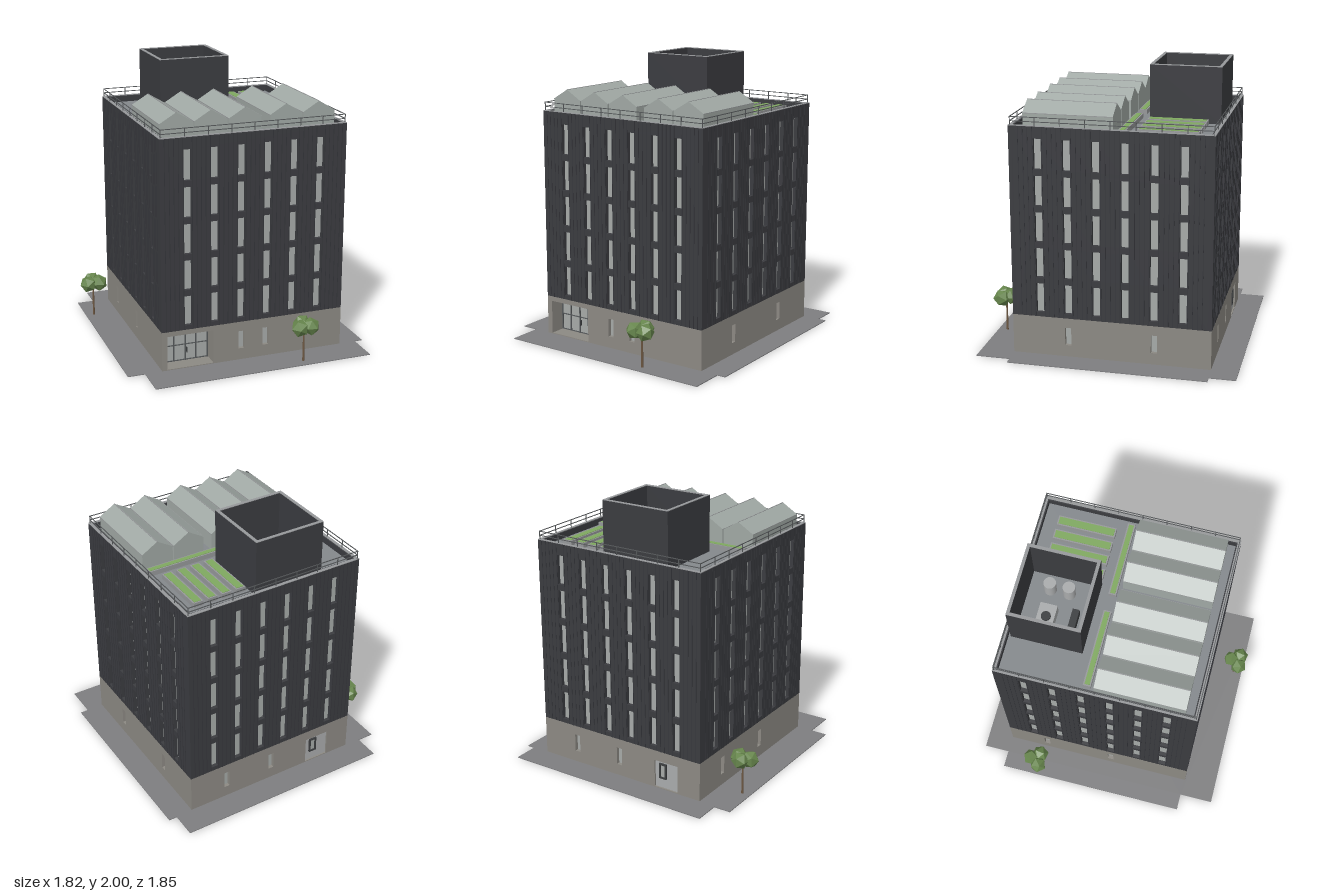
import * as THREE from 'three';

const CX = 0.049, CZ = -0.037, W = 1.346, D = 1.407; // building centre and footprint
const T = 0.03, GROUND = 0.006, BASE = 0.29, ROOF = 1.6, TOP = 1.645;

const mat = (color, extra = {}) => new THREE.MeshStandardMaterial({ color, ...extra });
const M = {
  ground: mat(0x7e7e80), base: mat(0x8c8983), clad: mat(0x3b3c40), rib: mat(0x34353a),
  glass: mat(0xa6aaa8), frame: mat(0x55585a), coping: mat(0x96989a), roof: mat(0x84888c),
  green: mat(0x7fa860), house: mat(0xa0a8a4), equip: mat(0xa9abac), dark: mat(0x3c3e40),
  trunk: mat(0x6e5842), leaf: mat(0x66854c, { flatShading: true }),
};

function add(parent, name, geo, material, x = 0, y = 0, z = 0) {
  const m = new THREE.Mesh(geo, material);
  m.name = name;
  m.position.set(x, y, z);
  parent.add(m);
  return m;
}

// Box given by its two opposite corners
function box(parent, name, material, x0, x1, y0, y1, z0, z1) {
  return add(parent, name, new THREE.BoxGeometry(x1 - x0, y1 - y0, z1 - z0), material,
    (x0 + x1) / 2, (y0 + y1) / 2, (z0 + z1) / 2);
}

function rect(Type, x0, x1, y0, y1) {
  return new Type([[x0, y0], [x1, y0], [x1, y1], [x0, y1]].map(p => new THREE.Vector2(...p)));
}

// Upright panel with rectangular holes; its outer face lies on z = 0
function panel(parent, name, material, r, holes, depth) {
  const s = rect(THREE.Shape, ...r);
  holes.forEach(h => s.holes.push(rect(THREE.Path, ...h)));
  const g = new THREE.ExtrudeGeometry(s, { depth, bevelEnabled: false });
  return add(parent, name, g, material, 0, 0, -depth);
}

// Hollow rectangular ring lying flat, from y0 to y1
function ring(parent, name, material, x0, x1, z0, z1, y0, y1, t) {
  const s = rect(THREE.Shape, x0, x1, -z1, -z0);
  s.holes.push(rect(THREE.Path, x0 + t, x1 - t, -z1 + t, -z0 - t));
  const g = new THREE.ExtrudeGeometry(s, { depth: y1 - y0, bevelEnabled: false }).rotateX(-Math.PI / 2);
  return add(parent, name, g, material, 0, y0, 0);
}

// One facade: base wall, clad wall, recessed windows and cladding ribs
function facade(root, name, angle, half, dist, step, baseWindows, doors = []) {
  const g = new THREE.Group();
  g.name = name;
  g.rotation.y = angle;
  g.position.set(CX + Math.sin(angle) * dist, 0, CZ + Math.cos(angle) * dist);
  root.add(g);
  const upper = [], lower = baseWindows.map(u => [u - 0.022, u + 0.022, 0.09, 0.22]);
  for (let i = 0; i < 6; i++) for (let j = 0; j < 5; j++) {
    const u = (i - 2.5) * step, y = 0.322 + j * 0.257;
    upper.push([u - 0.027, u + 0.027, y, y + 0.213]);
  }
  panel(g, 'baseWall', M.base, [-half, half, GROUND, BASE], [...lower, ...doors], T);
  panel(g, 'cladWall', M.clad, [-half, half, BASE, TOP], upper, T);
  for (const [a, b, y0, y1] of [...upper, ...lower])
    box(g, 'windowPane', M.glass, a, b, y0, y1, -T - 0.004, -T + 0.004);
  for (let i = -1; i < 6; i++) for (let k = 1; k < 6; k++) {
    const u = (i - 2.5 + k / 6) * step;
    if (Math.abs(u) < half - 0.01) box(g, 'claddingRib', M.rib, u - 0.002, u + 0.002, BASE, TOP, -0.002, 0.002);
  }
  return g;
}

function tree(root, x, z) {
  const g = new THREE.Group();
  g.name = 'tree';
  g.position.set(x, 0, z);
  root.add(g);
  add(g, 'trunk', new THREE.CylinderGeometry(0.006, 0.008, 0.24, 8), M.trunk, 0, 0.12, 0);
  [[0, 0.275, -0.038, 0.062], [-0.042, 0.268, 0.026, 0.064], [0.042, 0.268, 0.022, 0.064]].forEach(([a, b, c, r], i) => {
    add(g, 'foliage', new THREE.IcosahedronGeometry(r, 0), M.leaf, a, b, c).rotation.y = i * 0.7;
  });
}

function greenhouse(root, x) {
  const g = new THREE.Group();
  g.name = 'greenhouse';
  g.position.set(x, 0, -0.045);
  root.add(g);
  const w = 0.117, eave = 1.725, ridge = 1.795, len = 0.625;
  const s = new THREE.Shape([[-w, ROOF], [w, ROOF], [w, eave], [0, ridge], [-w, eave]].map(p => new THREE.Vector2(...p)));
  add(g, 'glazing', new THREE.ExtrudeGeometry(s, { depth: len, bevelEnabled: false }), M.house);
  for (const u of [-w, w]) box(g, 'eaveBar', M.coping, u - 0.002, u + 0.002, eave - 0.004, eave, 0, len);
  box(g, 'ridgeBar', M.coping, -0.003, 0.003, ridge - 0.004, ridge + 0.001, 0, len);
}

export function createModel() {
  const root = new THREE.Group();
  root.name = 'building';
  const x0 = CX - W / 2, x1 = CX + W / 2, z0 = CZ - D / 2, z1 = CZ + D / 2;

  // Paving with notched corners
  const plan = [[-0.745, -0.905], [0.845, -0.905], [0.845, -0.66], [0.905, -0.66], [0.905, 0.745], [0.845, 0.745],
    [0.845, 0.93], [-0.745, 0.93], [-0.745, 0.745], [-0.867, 0.745], [-0.867, -0.66], [-0.745, -0.66]];
  const paving = new THREE.Shape(plan.map(p => new THREE.Vector2(...p)));
  add(root, 'paving', new THREE.ExtrudeGeometry(paving, { depth: GROUND, bevelEnabled: false }).rotateX(-Math.PI / 2), M.ground);

  // Facades
  const porch = [-0.634, -0.299, 0.012, 0.255], backDoor = [0.3, 0.49, 0.012, 0.215];
  const front = facade(root, 'frontFacade', 0, W / 2, D / 2, 0.192, [-0.091, 0.091], [porch]);
  const back = facade(root, 'backFacade', Math.PI, W / 2, D / 2, 0.192, [-0.38, -0.005], [backDoor]);
  facade(root, 'leftFacade', Math.PI / 2, D / 2 - T, W / 2, 0.201, [-0.305, 0.305]);
  facade(root, 'rightFacade', -Math.PI / 2, D / 2 - T, W / 2, 0.201, [-0.41, 0.1]);

  // Recessed entrance with glazed screen
  const [a, b, c, d] = porch, deep = 0.12;
  panel(front, 'porchLining', M.base, [a - 0.006, b + 0.006, c - 0.006, d + 0.006], [porch], deep).position.z -= 0.001;
  box(front, 'entranceGlass', M.glass, a, b, c, d, -deep - 0.006, -deep + 0.002);
  for (const u of [a + 0.004, a + 0.083, a + 0.167, a + 0.245, b - 0.004])
    box(front, 'entranceMullion', M.frame, u - 0.004, u + 0.004, c, d, -deep, -deep + 0.01);
  for (const y of [c + 0.004, 0.132, d - 0.004])
    box(front, 'entranceTransom', M.frame, a, b, y - 0.003, y + 0.003, -deep, -deep + 0.009);
  box(front, 'doorHandle', M.dark, a + 0.175, a + 0.18, 0.07, 0.11, -deep, -deep + 0.02);

  // Service door with narrow light
  box(back, 'serviceDoor', M.equip, 0.3, 0.49, 0.012, 0.215, -T, -0.012);
  panel(back, 'doorLightFrame', M.dark, [0.335, 0.395, 0.085, 0.2], [[0.347, 0.383, 0.097, 0.188]], 0.012);
  box(back, 'doorLight', M.glass, 0.345, 0.385, 0.095, 0.19, -0.012, -0.008);

  // Roof deck, coping and railing
  box(root, 'roofDeck', M.roof, x0 + T, x1 - T, ROOF - 0.02, ROOF, z0 + T, z1 - T);
  ring(root, 'coping', M.coping, x0, x1, z0, z1, TOP, TOP + 0.004, 0.022);
  const e = 0.01, R = 0.0025;
  for (const y of [1.675, 1.705])
    ring(root, 'handrail', M.frame, x0 + e - R, x1 - e + R, z0 + e - R, z1 - e + R, y - R, y + R, 2 * R);
  for (let i = 0; i < 8; i++) {
    const px = x0 + e + (W - 2 * e) * i / 8, pz = z0 + e + (D - 2 * e) * i / 8;
    for (const [x, z] of [[px, z0 + e], [2 * CX - px, z1 - e], [x0 + e, 2 * CZ - pz], [x1 - e, pz]])
      box(root, 'railPost', M.frame, x - R, x + R, TOP, 1.705, z - R, z + R);
  }

  // Open-topped plant enclosure and its equipment
  ring(root, 'plantEnclosure', M.clad, -0.34, 0.184, -0.695, -0.192, ROOF, 1.996, 0.022);
  ring(root, 'enclosureCoping', M.coping, -0.34, 0.184, -0.695, -0.192, 1.996, 2, 0.022);
  box(root, 'airUnit', M.equip, -0.27, -0.085, ROOF, 1.7, -0.55, -0.43);
  add(root, 'fan', new THREE.CylinderGeometry(0.033, 0.033, 0.02, 24), M.dark, -0.178, 1.705, -0.487);
  for (const z of [-0.525, -0.39])
    add(root, 'tank', new THREE.CylinderGeometry(0.043, 0.043, 0.12, 24), M.equip, 0.056, ROOF + 0.06, z);
  box(root, 'cabinet', M.dark, -0.215, -0.07, ROOF, 1.68, -0.33, -0.282);

  // Greenhouses
  for (const x of [-0.478, -0.235, 0.01, 0.307, 0.55]) greenhouse(root, x);

  // Planting beds
  const beds = [[-0.565, -0.01, -0.13, -0.075], [0.112, 0.662, -0.13, -0.075]];
  for (let i = 0; i < 4; i++) beds.push([0.209 + i * 0.107, 0.281 + i * 0.107, -0.612, -0.195]);
  for (const [p, q, r, s] of beds) {
    ring(root, 'planterFrame', M.coping, p, q, r, s, ROOF, 1.635, 0.01);
    box(root, 'planting', M.green, p + 0.01, q - 0.01, ROOF, 1.638, r + 0.01, s - 0.01);
  }

  tree(root, -0.807, -0.48);
  tree(root, 0.357, 0.838);
  return root;
}
